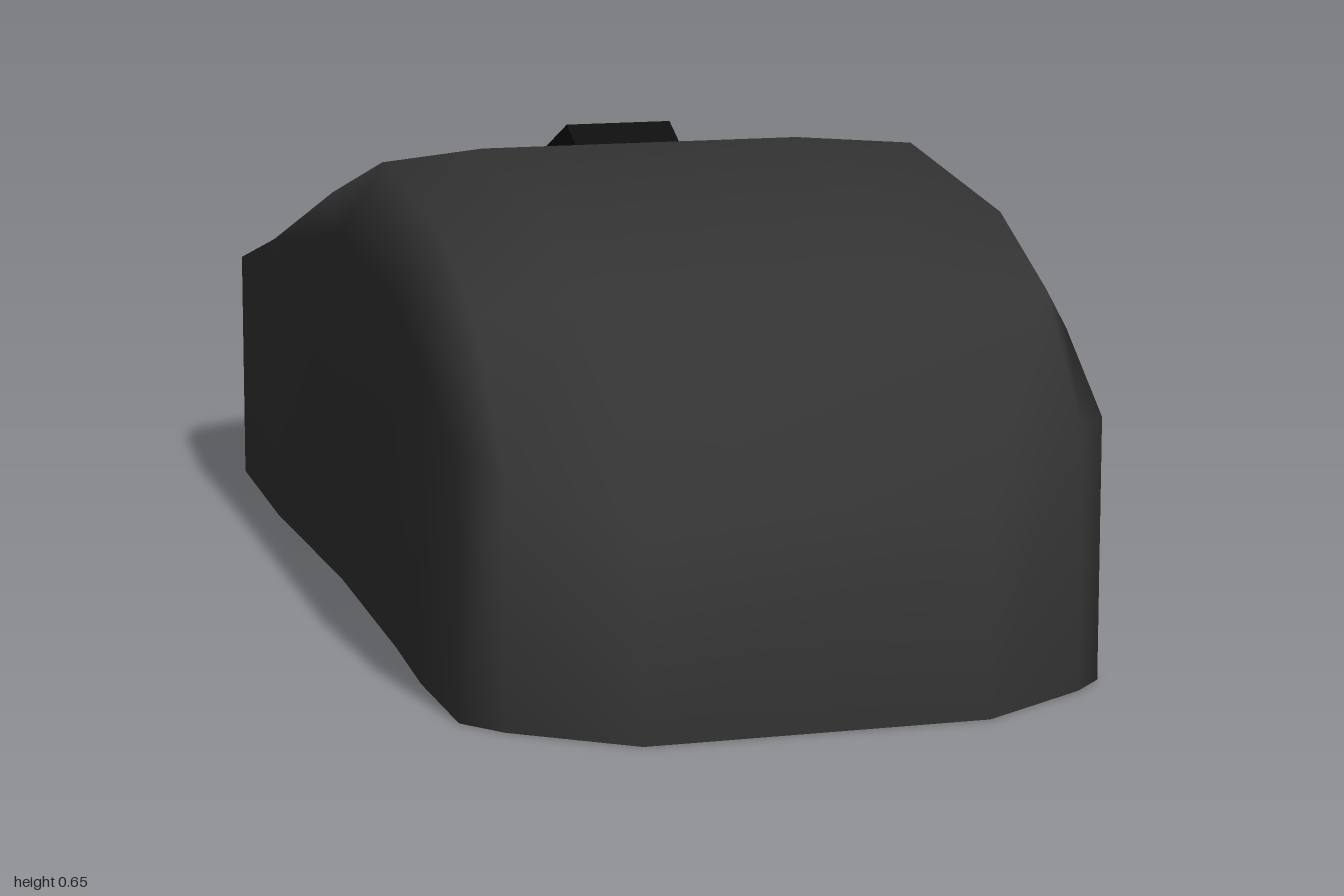
import * as THREE from 'three';

const shellMat = new THREE.MeshStandardMaterial({ color: 0x333333 });
shellMat.name = 'charcoal shell';
const wheelMat = new THREE.MeshStandardMaterial({ color: 0x0f0f0f });
wheelMat.name = 'black rubber';

// Height of the spine as [z, y], front to back
const SPINE = [[1, 0.29], [0.65, 0.53], [0.44, 0.605], [0, 0.64], [-0.42, 0.53], [-0.8, 0.385], [-1, 0.26]];

function spineHeight(z) {
  for (let i = 1; i < SPINE.length; i++) {
    const [z0, y0] = SPINE[i - 1], [z1, y1] = SPINE[i];
    if (z >= z1) return y0 + (y1 - y0) * (z - z0) / (z1 - z0);
  }
  return SPINE[SPINE.length - 1][1];
}

// Plan grid: rows front to back, six [x, z] columns from -x to +x
const side = (xl, zl, zm, xr, zr) =>
  [[xl, zl], [-0.41, zm], [-0.26, zm], [0.22, zm], [0.4, zm], [xr, zr]];
const ROWS = [
  [[-0.47, 0.83], [-0.42, 0.89], [-0.26, 1], [0.22, 0.98], [0.38, 0.87], [0.425, 0.82]],
  side(-0.48, 0.62, 0.65, 0.44, 0.62),
  side(-0.476, 0.42, 0.44, 0.45, 0.42),
  side(-0.478, 0, 0, 0.485, 0),
  side(-0.5, -0.44, -0.42, 0.498, -0.41),
  side(-0.5, -0.77, -0.79, 0.46, -0.72),
  [[-0.48, -0.86], [-0.42, -0.92], [-0.26, -1], [0.22, -0.97], [0.39, -0.85], [0.44, -0.8]],
];
const COLS = 6;

// Indices of the grid rim, counter-clockwise from above
function rimIndices() {
  const n = ROWS.length, rim = [];
  for (let c = 0; c < COLS; c++) rim.push(c);
  for (let r = 1; r < n; r++) rim.push(r * COLS + COLS - 1);
  for (let c = COLS - 2; c >= 0; c--) rim.push((n - 1) * COLS + c);
  for (let r = n - 2; r > 0; r--) rim.push(r * COLS);
  return rim;
}

// Smooth top with its skirt of upright walls
function shellGeometry(rim) {
  const pos = [], index = [];
  const quad = (a, b, c, d) => index.push(a, b, c, a, c, d);
  for (const row of ROWS) {
    row.forEach(([x, z], c) => {
      const h = spineHeight(z);
      const edge = c === 0 || c === COLS - 1;
      const shoulder = c === 1 || c === COLS - 2;
      const drop = edge ? 0.12 - (0.64 - h) * 0.33 : shoulder ? 0.015 : 0;
      pos.push(x, h - drop, z);
    });
  }
  for (let r = 0; r < ROWS.length - 1; r++) {
    for (let c = 0; c < COLS - 1; c++) {
      const a = r * COLS + c;
      quad(a, a + 1, a + COLS + 1, a + COLS);
    }
  }
  const base = pos.length / 3;
  for (const i of rim) pos.push(pos[i * 3], 0, pos[i * 3 + 2]);
  rim.forEach((p, k) => {
    const next = (k + 1) % rim.length;
    quad(base + k, base + next, rim[next], p);
  });
  const g = new THREE.BufferGeometry();
  g.setAttribute('position', new THREE.Float32BufferAttribute(pos, 3));
  g.setIndex(index);
  g.computeVertexNormals();
  return g;
}

// Faceted [z, y] profile extruded across x
function profilePart(name, points) {
  const shape = new THREE.Shape(points.map(([z, y]) => new THREE.Vector2(z, y)));
  const g = new THREE.ExtrudeGeometry(shape, { depth: 0.16, bevelEnabled: false });
  g.rotateY(-Math.PI / 2).translate(0.06, 0, 0);
  const mesh = new THREE.Mesh(g, wheelMat);
  mesh.name = name;
  return mesh;
}

export function createModel() {
  const group = new THREE.Group();
  group.name = 'computerMouse';
  const rim = rimIndices();

  const shell = new THREE.Mesh(shellGeometry(rim), shellMat);
  shell.name = 'shell';

  // Flat underside
  const outline = rim.map((i) => new THREE.Vector2(...ROWS[Math.floor(i / COLS)][i % COLS]));
  const underside = new THREE.Mesh(
    new THREE.ShapeGeometry(new THREE.Shape(outline)).rotateX(Math.PI / 2), shellMat);
  underside.name = 'underside';

  group.add(
    shell,
    underside,
    profilePart('scrollWheel', [[-0.86, 0.25], [-0.46, 0.4], [-0.46, 0.515], [-0.6, 0.535], [-0.77, 0.47], [-0.86, 0.35]]),
    profilePart('topButton', [[-0.32, 0.5], [-0.07, 0.55], [-0.07, 0.623], [-0.14, 0.65], [-0.305, 0.588], [-0.32, 0.56]]),
  );
  return group;
}
